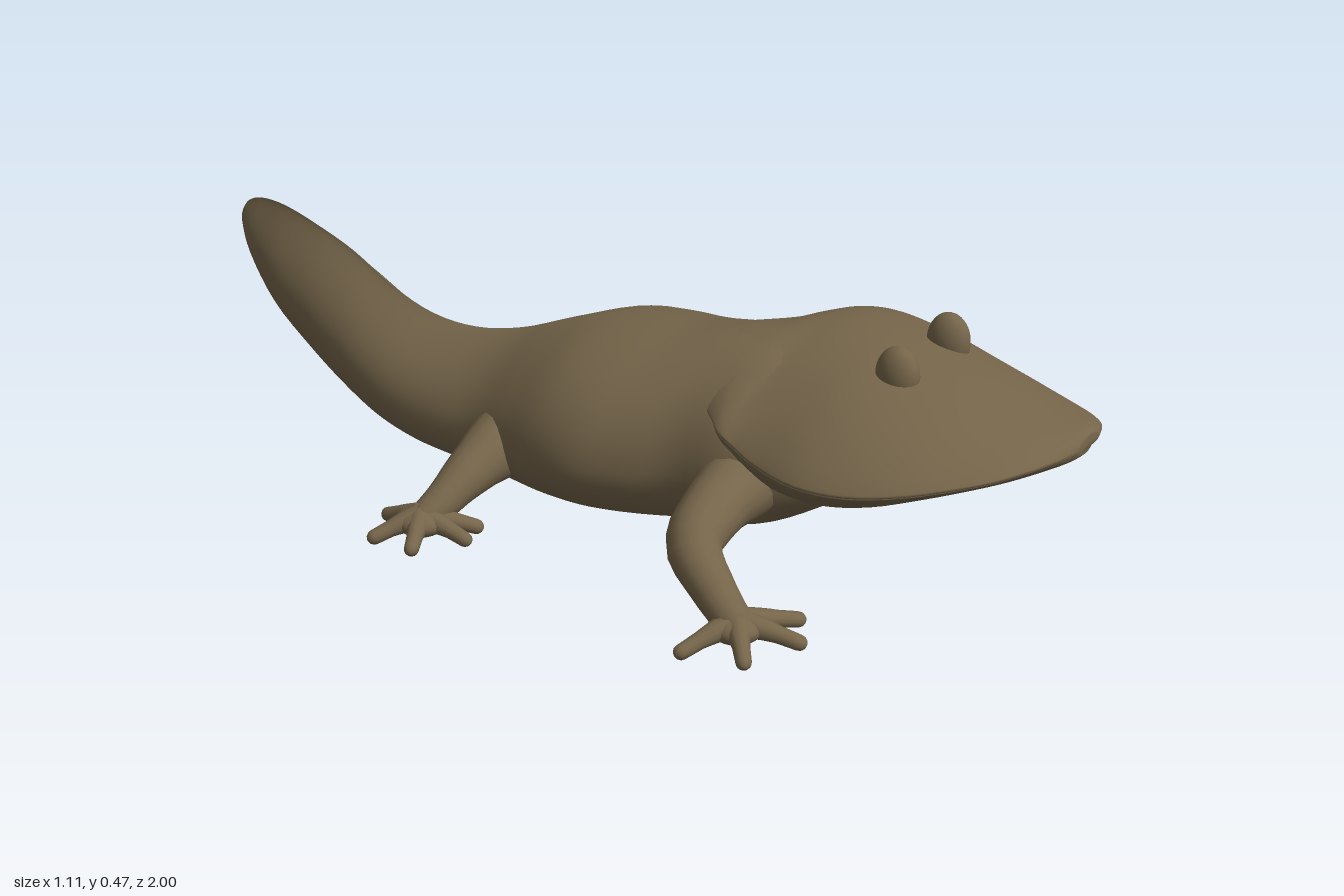
import * as THREE from 'three';

const V = (x, y, z) => new THREE.Vector3(x, y, z);
const SIDES = 64;

// Smooth Catmull-Rom interpolation between rows of section values
function smoothRows(rows, steps) {
  const out = [];
  const at = (i) => rows[Math.min(rows.length - 1, Math.max(0, i))];
  for (let i = 0; i < rows.length - 1; i++) {
    for (let s = 0; s < steps; s++) {
      const t = s / steps;
      out.push(rows[i].map((p1, k) => {
        const p0 = at(i - 1)[k], p2 = at(i + 1)[k], p3 = at(i + 2)[k];
        return 0.5 * (2 * p1 + (p2 - p0) * t + (2 * p0 - 5 * p1 + 4 * p2 - p3) * t * t
          + (3 * p1 - p0 - 3 * p2 + p3) * t * t * t);
      }));
    }
  }
  out.push(rows[rows.length - 1]);
  return out;
}

// Closed surface through equal-length rings, capped at both ends
function loft(rings) {
  const n = rings[0].length, pos = [], idx = [];
  rings.forEach((r) => r.forEach((p) => pos.push(p.x, p.y, p.z)));
  for (let i = 0; i < rings.length - 1; i++) {
    for (let j = 0; j < n; j++) {
      const a = i * n + j, b = i * n + (j + 1) % n;
      idx.push(a, a + n, b, b, a + n, b + n);
    }
  }
  [0, rings.length - 1].forEach((i, end) => {
    const c = rings[i].reduce((s, p) => s.add(p), V(0, 0, 0)).divideScalar(n);
    const ci = pos.length / 3;
    pos.push(c.x, c.y, c.z);
    for (let j = 0; j < n; j++) {
      const a = i * n + j, b = i * n + (j + 1) % n;
      if (end) idx.push(ci, b, a); else idx.push(ci, a, b);
    }
  });
  const g = new THREE.BufferGeometry();
  g.setAttribute('position', new THREE.Float32BufferAttribute(pos, 3));
  g.setIndex(idx);
  g.computeVertexNormals();
  return g;
}

// Ring of points from a rule taking (cos, sin)
const ring = (rule) => Array.from({ length: SIDES }, (_, j) => {
  const a = (j / SIDES) * Math.PI * 2;
  return rule(Math.cos(a), Math.sin(a));
});

// Round limb along a curve with changing radius and a rounded tip
function limb(points, radii, seg = 20, sides = 16) {
  const curve = new THREE.CatmullRomCurve3(points);
  const { normals, binormals } = curve.computeFrenetFrames(seg);
  const rings = [];
  const addRing = (c, r, i) => rings.push(Array.from({ length: sides }, (_, j) => {
    const a = (j / sides) * Math.PI * 2;
    return c.clone().addScaledVector(normals[i], r * Math.cos(a)).addScaledVector(binormals[i], -r * Math.sin(a));
  }));
  for (let i = 0; i <= seg; i++) {
    const t = (i / seg) * (radii.length - 1), k = Math.min(radii.length - 2, Math.floor(t));
    addRing(curve.getPointAt(i / seg), THREE.MathUtils.lerp(radii[k], radii[k + 1], t - k), i);
  }
  const tip = curve.getPointAt(1), dir = curve.getTangentAt(1), r = radii[radii.length - 1];
  for (const a of [0.5, 1, 1.4]) addRing(tip.clone().addScaledVector(dir, r * Math.sin(a)), r * Math.cos(a), seg);
  return loft(rings);
}

export function createModel() {
  const model = new THREE.Group();
  const skin = new THREE.MeshStandardMaterial({ color: 0x75654a });
  skin.name = 'olive brown skin';
  const add = (name, geo, parent = model) => {
    const m = new THREE.Mesh(geo, skin);
    m.name = name;
    parent.add(m);
    return m;
  };

  // Body and tail: z, left edge, right edge, bottom, top, ridge x, crest sharpness
  const body = smoothRows([
    [0.62, -0.08, 0.16, 0.17, 0.34, 0.03, 0],
    [0.52, -0.18, 0.21, 0.10, 0.395, 0.02, 0],
    [0.42, -0.24, 0.235, 0.05, 0.418, 0.0, 0],
    [0.30, -0.25, 0.225, 0.03, 0.411, -0.01, 0],
    [0.20, -0.285, 0.24, 0.018, 0.395, -0.02, 0],
    [0.10, -0.312, 0.26, 0.01, 0.385, -0.03, 0],
    [0.00, -0.305, 0.25, 0.004, 0.37, -0.03, 0],
    [-0.10, -0.275, 0.195, 0.002, 0.34, -0.05, 0.2],
    [-0.20, -0.242, 0.13, 0.003, 0.304, -0.065, 0.45],
    [-0.30, -0.23, 0.09, 0.004, 0.288, -0.085, 0.7],
    [-0.40, -0.22, 0.06, 0.01, 0.30, -0.1, 0.9],
    [-0.50, -0.21, 0.04, 0.03, 0.342, -0.11, 1],
    [-0.60, -0.197, 0.03, 0.07, 0.40, -0.115, 1],
    [-0.70, -0.185, 0.02, 0.13, 0.44, -0.12, 1],
    [-0.80, -0.167, 0.015, 0.20, 0.455, -0.105, 1],
    [-0.90, -0.12, 0.0, 0.285, 0.44, -0.07, 1],
    [-0.97, -0.065, -0.012, 0.345, 0.41, -0.038, 1],
    [-1.00, -0.03, -0.02, 0.372, 0.385, -0.025, 1],
  ], 4);
  add('bodyAndTail', loft(body.map(([z, l, r, bottom, top, ridge, crest]) => {
    const cx = (l + r) / 2, w = (r - l) / 2, mid = bottom + (top - bottom) * (0.42 - 0.04 * crest);
    return ring((c, s) => {
      const up = Math.max(0, s);
      const side = Math.sign(c) * Math.abs(c) ** (s > 0 ? 1 + crest * 1.5 : 0.9 + crest * 0.2);
      const x = cx + w * side + (ridge - cx) * up ** 1.5 * crest;
      return V(x, mid + (s > 0 ? (top - mid) * s : (mid - bottom) * s), z);
    });
  })));

  // Head: z, left edge, right edge, mouth line, bottom, top
  const head = smoothRows([
    [1.0, 0.04, 0.12, 0.326, 0.303, 0.342],
    [0.985, -0.02, 0.165, 0.325, 0.292, 0.35],
    [0.95, -0.095, 0.205, 0.319, 0.28, 0.358],
    [0.90, -0.16, 0.245, 0.309, 0.262, 0.37],
    [0.80, -0.243, 0.31, 0.292, 0.22, 0.395],
    [0.70, -0.288, 0.365, 0.279, 0.17, 0.415],
    [0.60, -0.297, 0.41, 0.274, 0.128, 0.43],
    [0.50, -0.27, 0.432, 0.277, 0.095, 0.436],
    [0.44, -0.25, 0.415, 0.29, 0.08, 0.433],
    [0.40, -0.24, 0.35, 0.305, 0.09, 0.428],
    [0.36, -0.21, 0.25, 0.32, 0.14, 0.421],
    [0.28, -0.15, 0.15, 0.33, 0.22, 0.408],
    [0.18, -0.08, 0.08, 0.33, 0.28, 0.38],
  ], 4);
  const headHalf = (upper) => loft(head.map(([z, l, r, rim, bottom, top]) => {
    const cx = (l + r) / 2, w = (r - l) / 2 - (upper ? 0 : 0.01);
    return ring((c, s) => {
      const a = Math.abs(s);
      let y;
      if (upper) y = s > 0 ? rim + (top - rim) * a ** 1.7 : rim - 0.008 * a ** 0.4;
      else y = s > 0 ? rim - 0.01 + 0.006 * a ** 0.4 : rim - 0.01 - Math.max(0.004, rim - 0.01 - bottom) * a ** 1.65;
      return V(cx + w * c, y, z - (upper ? 0 : 0.006));
    });
  }));
  add('upperHead', headHalf(true));
  add('lowerJaw', headHalf(false));

  // Eyes: small raised bumps
  for (const [name, x] of [['rightEye', -0.034], ['leftEye', 0.163]]) {
    const eye = add(name, new THREE.SphereGeometry(1, 24, 16));
    eye.scale.set(0.034, 0.058, 0.044);
    eye.position.set(x, 0.413, 0.66);
  }

  // Legs: joint path, radii, palm centre, toe tips on the ground (x, z)
  const legs = [
    ['frontRightLeg', [V(-0.08, 0.19, 0.41), V(-0.2, 0.185, 0.42), V(-0.3, 0.175, 0.43), V(-0.39, 0.145, 0.45), V(-0.42, 0.095, 0.51), V(-0.43, 0.05, 0.56)],
      [0.09, 0.08, 0.064, 0.057, 0.045, 0.036], [-0.43, 0.57],
      [[-0.54, 0.525], [-0.505, 0.635], [-0.39, 0.68], [-0.32, 0.635]]],
    ['frontLeftLeg', [V(0.06, 0.17, 0.36), V(0.18, 0.165, 0.36), V(0.28, 0.155, 0.36), V(0.38, 0.142, 0.36), V(0.445, 0.09, 0.39), V(0.465, 0.05, 0.43)],
      [0.09, 0.08, 0.064, 0.057, 0.045, 0.036], [0.465, 0.43],
      [[0.545, 0.37], [0.525, 0.475], [0.435, 0.525], [0.375, 0.48]]],
    ['rearRightLeg', [V(-0.08, 0.14, -0.11), V(-0.18, 0.135, -0.12), V(-0.26, 0.122, -0.125), V(-0.34, 0.095, -0.132), V(-0.40, 0.065, -0.14), V(-0.44, 0.045, -0.15)],
      [0.1, 0.09, 0.072, 0.054, 0.041, 0.032], [-0.445, -0.155],
      [[-0.44, -0.245], [-0.53, -0.205], [-0.525, -0.115], [-0.435, -0.055], [-0.38, -0.07]]],
    ['rearLeftLeg', [V(0.02, 0.14, -0.1), V(0.1, 0.138, -0.11), V(0.18, 0.132, -0.12), V(0.27, 0.108, -0.125), V(0.33, 0.072, -0.165), V(0.37, 0.045, -0.21)],
      [0.1, 0.09, 0.075, 0.064, 0.048, 0.034], [0.375, -0.215],
      [[0.345, -0.315], [0.425, -0.305], [0.457, -0.23], [0.445, -0.165], [0.365, -0.12]]],
  ];
  for (const [name, path, radii, [px, pz], toes] of legs) {
    const leg = new THREE.Group();
    leg.name = name;
    model.add(leg);
    add('limb', limb(path, radii), leg);
    const palm = add('palm', new THREE.SphereGeometry(1, 20, 14), leg);
    palm.scale.set(0.052, 0.029, 0.052);
    palm.position.set(px, 0.039, pz);
    for (const [tx, tz] of toes) {
      const mx = (px + tx) / 2, mz = (pz + tz) / 2;
      add('toe', limb([V(px, 0.048, pz), V(mx, 0.038, mz), V(tx, 0.022, tz)], [0.028, 0.022, 0.0165, 0.015], 9, 12), leg);
    }
  }
  return model;
}
